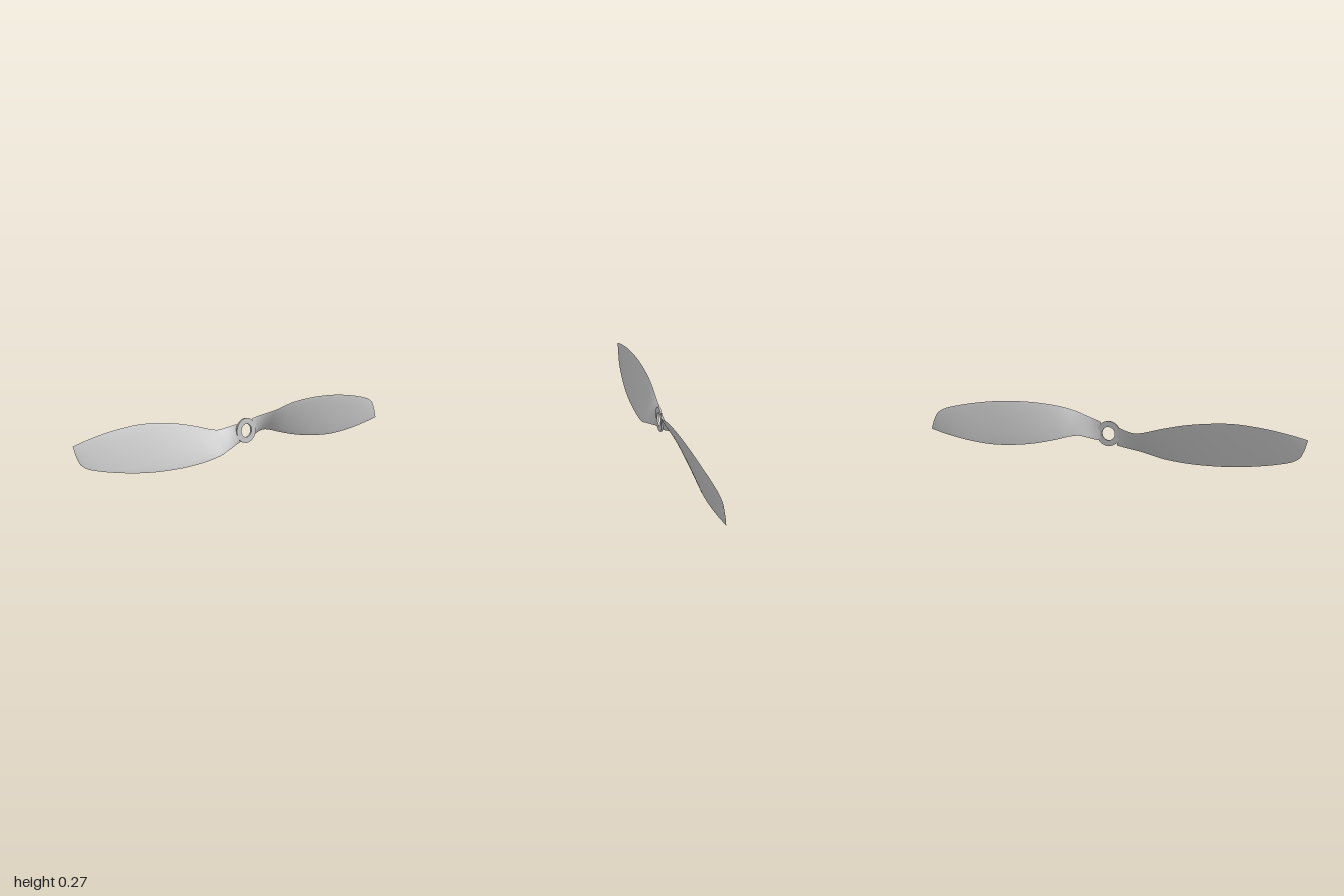
import * as THREE from 'three';

const CENTER_Y = 0.135;
const material = new THREE.MeshStandardMaterial({ color: 0xcccccc, side: THREE.DoubleSide });

// Blade stations, root to tip: upper edge x, y, z, lower edge x, y, z, thickness (y from the hub axis)
const stations = [
  [0.045, 0.058, 0.001, 0.045, -0.036, -0.003, 0.010],
  [0.065, 0.064, 0.005, 0.065, -0.033, -0.014, 0.010],
  [0.11, 0.076, 0.019, 0.11, -0.021, -0.029, 0.011],
  [0.15, 0.086, 0.031, 0.15, -0.015, -0.034, 0.012],
  [0.19, 0.098, 0.041, 0.19, -0.020, -0.037, 0.013],
  [0.28, 0.119, 0.037, 0.28, -0.044, -0.041, 0.013],
  [0.40, 0.132, 0.032, 0.40, -0.070, -0.042, 0.013],
  [0.52, 0.135, 0.027, 0.52, -0.085, -0.038, 0.012],
  [0.64, 0.130, 0.020, 0.64, -0.090, -0.032, 0.010],
  [0.76, 0.116, 0.010, 0.76, -0.080, -0.028, 0.008],
  [0.86, 0.098, -0.001, 0.85, -0.066, -0.025, 0.006],
  [0.93, 0.079, -0.009, 0.93, -0.049, -0.022, 0.005],
  [0.965, 0.056, -0.014, 0.97, -0.039, -0.020, 0.004],
  [0.985, 0.018, -0.017, 1.0, -0.031, -0.019, 0.002],
];

// One face of the blade; side is +1 for the front, -1 for the back
function bladeSurface(side) {
  const perSpan = 4, across = 14;
  const edge = (k) => new THREE.CatmullRomCurve3(
    stations.map((s) => new THREE.Vector3(s[k], s[k + 1], s[k + 2])));
  const upper = edge(0), lower = edge(3);
  const spans = (stations.length - 1) * perSpan;
  const positions = [], indices = [];
  for (let i = 0; i <= spans; i++) {
    const a = upper.getPoint(i / spans), b = lower.getPoint(i / spans);
    const k = Math.min(Math.floor(i / perSpan), stations.length - 2);
    const thick = THREE.MathUtils.lerp(stations[k][6], stations[k + 1][6], i / perSpan - k);
    for (let j = 0; j <= across; j++) {
      const s = (1 - Math.cos((j / across) * Math.PI)) / 2;
      const p = a.clone().lerp(b, s);
      const bulge = Math.pow(Math.max(4 * s * (1 - s), 0), 0.7) * thick;
      p.z += side * bulge * (side > 0 ? 0.6 : 0.4);
      positions.push(p.x, p.y, p.z);
    }
  }
  const row = across + 1;
  for (let i = 0; i < spans; i++) {
    for (let j = 0; j < across; j++) {
      const a = i * row + j, b = a + 1, c = a + row, d = c + 1;
      if (side > 0) indices.push(a, b, c, b, d, c);
      else indices.push(a, c, b, b, c, d);
    }
  }
  const geometry = new THREE.BufferGeometry();
  geometry.setAttribute('position', new THREE.Float32BufferAttribute(positions, 3));
  geometry.setIndex(indices);
  geometry.computeVertexNormals();
  return geometry;
}

export function createModel() {
  const model = new THREE.Group();
  model.name = 'propeller';

  // Flat ring hub
  const ring = new THREE.Shape().absarc(0, 0, 0.063, 0, Math.PI * 2, false);
  ring.holes.push(new THREE.Path().absarc(0, 0, 0.034, 0, Math.PI * 2, true));
  const hubGeometry = new THREE.ExtrudeGeometry(ring, { depth: 0.01, bevelEnabled: false, curveSegments: 32 });
  hubGeometry.translate(0, 0, -0.005);
  const hub = new THREE.Mesh(hubGeometry, material);
  hub.name = 'hub';
  hub.position.y = CENTER_Y;
  model.add(hub);

  // Two twisted blades, half a turn apart
  const front = bladeSurface(1), back = bladeSurface(-1);
  ['leftBlade', 'rightBlade'].forEach((name, i) => {
    const blade = new THREE.Group();
    blade.name = name;
    const frontFace = new THREE.Mesh(front, material);
    frontFace.name = 'bladeFront';
    const backFace = new THREE.Mesh(back, material);
    backFace.name = 'bladeBack';
    blade.add(frontFace, backFace);
    blade.position.y = CENTER_Y;
    blade.rotation.z = i * Math.PI;
    model.add(blade);
  });

  return model;
}
